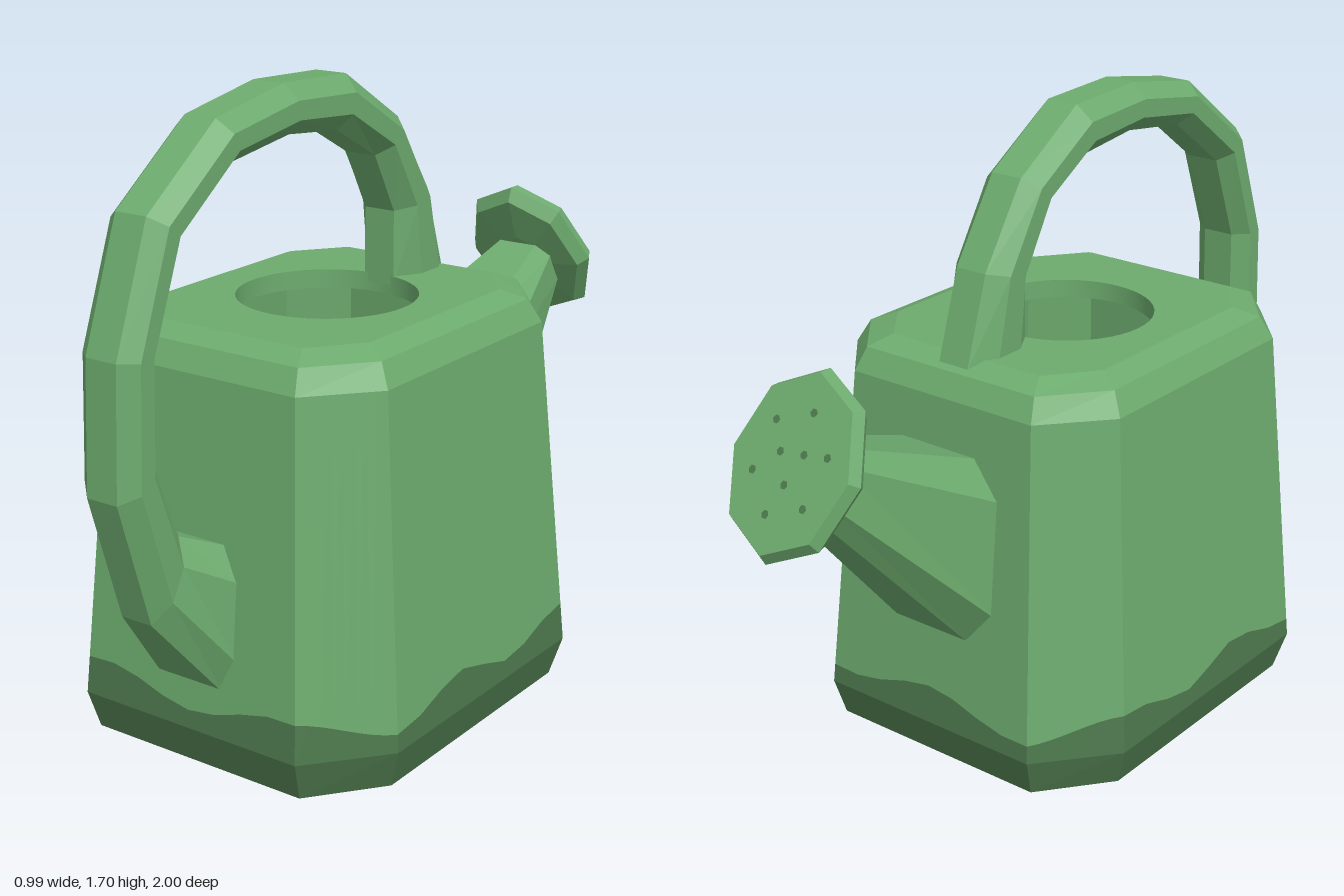
import * as THREE from 'three';

const green = new THREE.MeshStandardMaterial({ color: 0x6dab6e });
green.name = 'leaf green';
const darkGreen = new THREE.MeshStandardMaterial({ color: 0x4d784d });
darkGreen.name = 'dark green';

const CZ = 0.145; // centre of the tank along z

// Faceted skin over rings of points; rings run counterclockwise seen from the end they travel to
function loft(rings, capStart = false, capEnd = false) {
  const pos = [];
  const tri = (a, b, c) => pos.push(...a, ...b, ...c);
  for (let i = 0; i < rings.length - 1; i++) {
    const r = rings[i], s = rings[i + 1], n = r.length;
    for (let j = 0; j < n; j++) {
      const k = (j + 1) % n;
      tri(r[j], r[k], s[k]);
      tri(r[j], s[k], s[j]);
    }
  }
  const first = rings[0], last = rings[rings.length - 1];
  for (let j = 1; j < first.length - 1; j++) {
    if (capStart) tri(first[0], first[j + 1], first[j]);
    if (capEnd) tri(last[0], last[j], last[j + 1]);
  }
  const g = new THREE.BufferGeometry();
  g.setAttribute('position', new THREE.Float32BufferAttribute(pos, 3));
  g.computeVertexNormals();
  return g;
}

// Rectangle with cut corners at height y
function tankRing([y, hx, hz, cx, cz]) {
  return [[hx, cz], [hx, -cz], [cx, -hz], [-cx, -hz], [-hx, -cz], [-hx, cz], [-cx, hz], [cx, hz]]
    .map(([x, z]) => [x, y, z + CZ]);
}

// Split every side of a ring into equal steps
function subdivide(ring, steps) {
  return ring.flatMap((a, i) => {
    const b = ring[(i + 1) % ring.length];
    return Array.from({ length: steps }, (_, k) => a.map((v, m) => v + (b[m] - v) * k / steps));
  });
}

// Eight-sided section spanning outer to inner [z, y], half width w, flat share k, chamfer share c
function tubeRing([oz, oy, iz, iy, w, k, c]) {
  return [[-k, 0], [k, 0], [1, c], [1, 1 - c], [k, 1], [-k, 1], [-1, 1 - c], [-1, c]]
    .map(([x, t]) => [x * w, oy + (iy - oy) * t, oz + (iz - oz) * t]);
}

export function createModel() {
  const group = new THREE.Group();
  const add = (name, geometry, material = green) => {
    const mesh = new THREE.Mesh(geometry, material);
    mesh.name = name;
    group.add(mesh);
    return mesh;
  };

  // Tank walls, divided by a wavy colour line
  const base = tankRing([0, 0.367, 0.445, 0.24, 0.31]);
  const lowEdge = tankRing([0.045, 0.464, 0.555, 0.32, 0.375]);
  const belly = tankRing([0.15, 0.495, 0.587, 0.332, 0.392]);
  const shoulder = tankRing([1.04, 0.428, 0.51, 0.285, 0.345]);
  const topEdge = tankRing([1.1, 0.396, 0.478, 0.27, 0.325]);
  const lid = tankRing([1.125, 0.335, 0.415, 0.235, 0.285]);
  const steps = 8;
  const low = subdivide(belly, steps), high = subdivide(shoulder, steps);
  const wave = low.map((p, i) => {
    const angle = Math.atan2(p[2] - CZ, p[0]);
    const y = 0.225 + 0.028 * Math.cos(7 * (angle - 0.21));
    const t = (y - p[1]) / (high[i][1] - p[1]);
    return p.map((v, m) => v + (high[i][m] - v) * t);
  });
  add('tankBase', loft([base, lowEdge, belly], true), darkGreen);
  add('tankBand', loft([low, wave]), darkGreen);
  add('tankWall', loft([wave, high]));
  add('tankShoulder', loft([shoulder, topEdge, lid]));

  // Flat top with a round filling hole
  const holeRadius = 0.233;
  const top = new THREE.Shape(lid.map(([x, , z]) => new THREE.Vector2(x, -z)));
  top.holes.push(new THREE.Path().absarc(0, -CZ, holeRadius, 0, Math.PI * 2, true));
  add('tankTop', new THREE.ShapeGeometry(top, 24).rotateX(-Math.PI / 2).translate(0, 1.125, 0));

  // Lip of the hole, facing inwards
  const lip = new THREE.CylinderGeometry(holeRadius, holeRadius, 0.05, 48, 1, true);
  lip.scale(-1, 1, 1);
  const index = lip.index.array;
  const normals = lip.attributes.normal;
  for (let i = 0; i < normals.count; i++) normals.setXYZ(i, -normals.getX(i), 0, -normals.getZ(i));
  lip.setIndex([...index]);
  add('fillingHoleLip', lip.translate(0, 1.1, CZ));

  // Hollow inside
  const inside = [[0.06, 0.44, 0.53, 0.3, 0.36], [1.075, 0.37, 0.455, 0.255, 0.315]]
    .map(r => tankRing(r).reverse());
  add('tankInside', loft(inside, true));

  // Handle: flared foot on the front, arching over to the top
  const handle = [
    [0.71, 0.265, 0.68, 0.64, 0.14, 0.7, 0.23],
    [0.9, 0.5, 0.795, 0.69, 0.087, 0.52, 0.3],
    [1.0, 0.83, 0.876, 0.9],
    [0.985, 1.16, 0.87, 1.155],
    [0.87, 1.47, 0.775, 1.395],
    [0.625, 1.65, 0.575, 1.54],
    [0.373, 1.695, 0.355, 1.57],
    [0.125, 1.685, 0.163, 1.55],
    [-0.1, 1.545, 0, 1.46],
    [-0.24, 1.335, -0.085, 1.3],
    [-0.315, 1.1, -0.085, 1.1],
  ].map(([oz, oy, iz, iy, w = 0.087, k = 0.52, c = 0.31]) => tubeRing([oz, oy, iz, iy, w, k, c]));
  add('handle', loft(handle, true, true));

  // Tapering spout on the back
  add('spout', loft([
    tubeRing([-0.36, 0.905, -0.4, 0.4, 0.198, 0.6, 0.19]),
    tubeRing([-0.795, 1.07, -0.877, 0.925, 0.095, 0.6, 0.22]),
  ], true, true));

  // Sprinkler head, tilted to face back and up
  const centre = new THREE.Vector3(0, 1.047, -0.888);
  const out = new THREE.Vector3(0, 0.504, -0.863).normalize();
  const up = new THREE.Vector3(0, 0.863, 0.504).normalize();
  const onHead = (s, r, a) => centre.clone()
    .addScaledVector(out, s)
    .addScaledVector(up, r * Math.sin(a))
    .add(new THREE.Vector3(-0.82 * r * Math.cos(a), 0, 0));
  const head = [[-0.08, 0.09], [-0.064, 0.21], [-0.03, 0.237], [0, 0.22]].map(([s, r]) =>
    Array.from({ length: 8 }, (_, j) => onHead(s, r, j * Math.PI / 4).toArray()));
  add('sprinklerHead', loft(head, true, true));

  // Small water holes in the head
  const facing = new THREE.Quaternion().setFromUnitVectors(new THREE.Vector3(0, 0, 1), out);
  for (const [count, r] of [[6, 0.13], [3, 0.05]]) {
    for (let i = 0; i < count; i++) {
      const dot = add('waterHole', new THREE.CircleGeometry(0.011, 6), darkGreen);
      dot.position.copy(onHead(0.002, r, (i + 0.3) / count * Math.PI * 2));
      dot.quaternion.copy(facing);
    }
  }
  return group;
}
